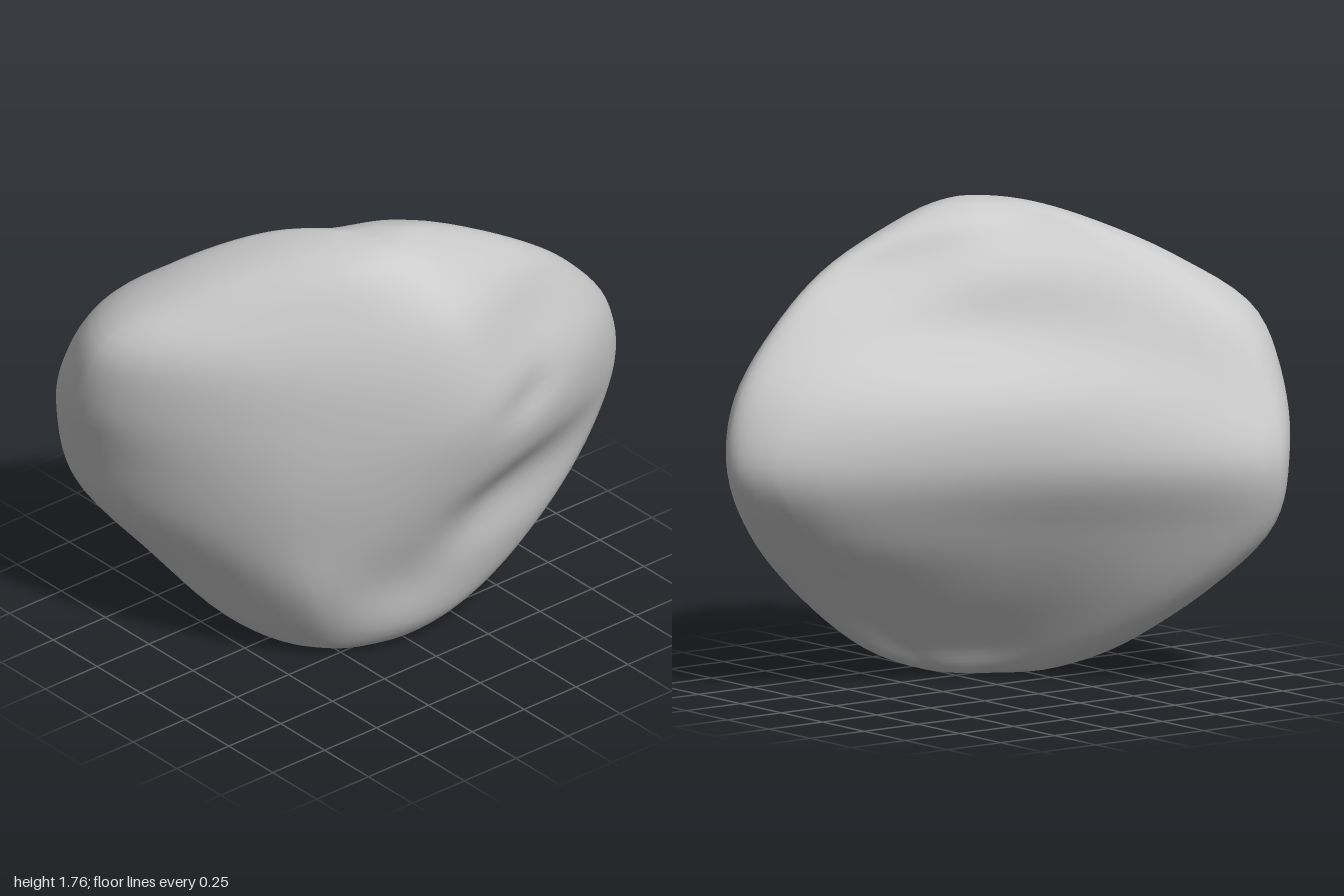
import * as THREE from 'three';
import { mergeVertices } from 'three/addons/utils/BufferGeometryUtils.js';

// Heights of the horizontal cross-sections
const HEIGHTS = [0.02, 0.12, 0.35, 0.6, 0.85, 1.1, 1.35, 1.55, 1.7];

// Each section as x, z pairs: left edge, front left, front ridge, front right,
// right edge, back right, back middle, back left corner
const SECTIONS = [
  [-0.36, 0.11, -0.26, 0.25, -0.10, 0.32, 0.00, 0.33, 0.08, 0.30, 0.04, 0.25, -0.10, 0.16, -0.28, 0.06],
  [-0.53, -0.08, -0.36, 0.26, -0.10, 0.40, 0.18, 0.41, 0.34, 0.35, 0.20, 0.26, -0.08, 0.09, -0.40, -0.16],
  [-0.70, -0.28, -0.48, 0.30, -0.12, 0.45, 0.20, 0.48, 0.64, 0.37, 0.45, 0.20, -0.05, -0.09, -0.60, -0.47],
  [-0.87, -0.38, -0.58, 0.29, -0.12, 0.55, 0.28, 0.50, 0.87, 0.36, 0.72, 0.14, 0.04, -0.21, -0.75, -0.67],
  [-0.94, -0.38, -0.62, 0.31, -0.08, 0.65, 0.42, 0.62, 0.99, 0.34, 0.91, 0.14, 0.12, -0.30, -0.75, -0.74],
  [-0.99, -0.34, -0.62, 0.33, -0.04, 0.72, 0.42, 0.66, 0.94, 0.36, 0.83, 0.14, 0.09, -0.29, -0.77, -0.66],
  [-0.96, -0.27, -0.57, 0.36, -0.05, 0.71, 0.38, 0.59, 0.74, 0.38, 0.59, 0.20, 0.10, -0.05, -0.70, -0.53],
  [-0.72, -0.10, -0.46, 0.38, -0.08, 0.65, 0.22, 0.57, 0.48, 0.39, 0.30, 0.24, -0.02, -0.03, -0.58, -0.30],
  [-0.44, 0.10, -0.33, 0.39, -0.12, 0.52, 0.05, 0.47, 0.18, 0.33, 0.06, 0.18, -0.17, 0.07, -0.36, -0.05],
];

const BOTTOM = new THREE.Vector3(-0.12, 0, 0.22);
const TOP = new THREE.Vector3(-0.14, 1.765, 0.31);
const AROUND = 64;
const UPWARD = 60;

// Shallow hollow in the front right face and a soft valley down the upper back
function dent(p) {
  if (p.z > 0.3) {
    const d = ((p.x - 0.3) / 0.16) ** 2 + ((p.y - 1.08) / 0.09) ** 2;
    p.z -= 0.03 * Math.exp(-d);
  }
  const depth = 0.62 * p.x + 0.78 * p.z;
  if (depth < 0) {
    const side = 0.78 * p.x - 0.62 * p.z;
    const d = ((side + 0.02) / 0.12) ** 2 + ((p.y - 1.22) / 0.2) ** 2;
    const push = 0.04 * Math.exp(-d);
    p.x += 0.62 * push;
    p.z += 0.78 * push;
  }
}

function rockGeometry() {
  // Smooth closed loop through every section
  const loops = SECTIONS.map((s, k) => {
    const points = [];
    for (let i = 0; i < s.length; i += 2) points.push(new THREE.Vector3(s[i], HEIGHTS[k], s[i + 1]));
    const curve = new THREE.CatmullRomCurve3(points, true, 'centripetal');
    return Array.from({ length: AROUND }, (_, j) => curve.getPoint(j / AROUND));
  });

  // Small loop that rounds off the crown
  loops.push(loops.at(-1).map((p) => p.clone().lerp(TOP, 0.55).setY(1.755)));

  // Smooth columns from the lowest to the highest point
  const positions = [];
  for (let j = 0; j < AROUND; j++) {
    const column = new THREE.CatmullRomCurve3(
      [BOTTOM, ...loops.map((loop) => loop[j]), TOP], false, 'centripetal');
    for (let i = 0; i <= UPWARD; i++) {
      const p = column.getPoint(i / UPWARD);
      dent(p);
      positions.push(p.x, Math.max(0, p.y), p.z);
    }
  }

  // Faces between neighbouring columns, single triangles at the poles
  const index = [];
  const row = UPWARD + 1;
  for (let j = 0; j < AROUND; j++) {
    const next = (j + 1) % AROUND;
    for (let i = 0; i < UPWARD; i++) {
      const a = j * row + i;
      const b = next * row + i;
      if (i > 0) index.push(a, b, b + 1);
      if (i < UPWARD - 1) index.push(a, b + 1, a + 1);
    }
  }
  let geometry = new THREE.BufferGeometry();
  geometry.setAttribute('position', new THREE.Float32BufferAttribute(positions, 3));
  geometry.setIndex(index);
  geometry = mergeVertices(geometry, 1e-5);
  geometry.computeVertexNormals();
  return geometry;
}

export function createModel() {
  const group = new THREE.Group();
  group.name = 'boulder';
  const rock = new THREE.Mesh(rockGeometry(), new THREE.MeshStandardMaterial({ color: 0xcccccc }));
  rock.name = 'rock';
  group.add(rock);
  return group;
}
